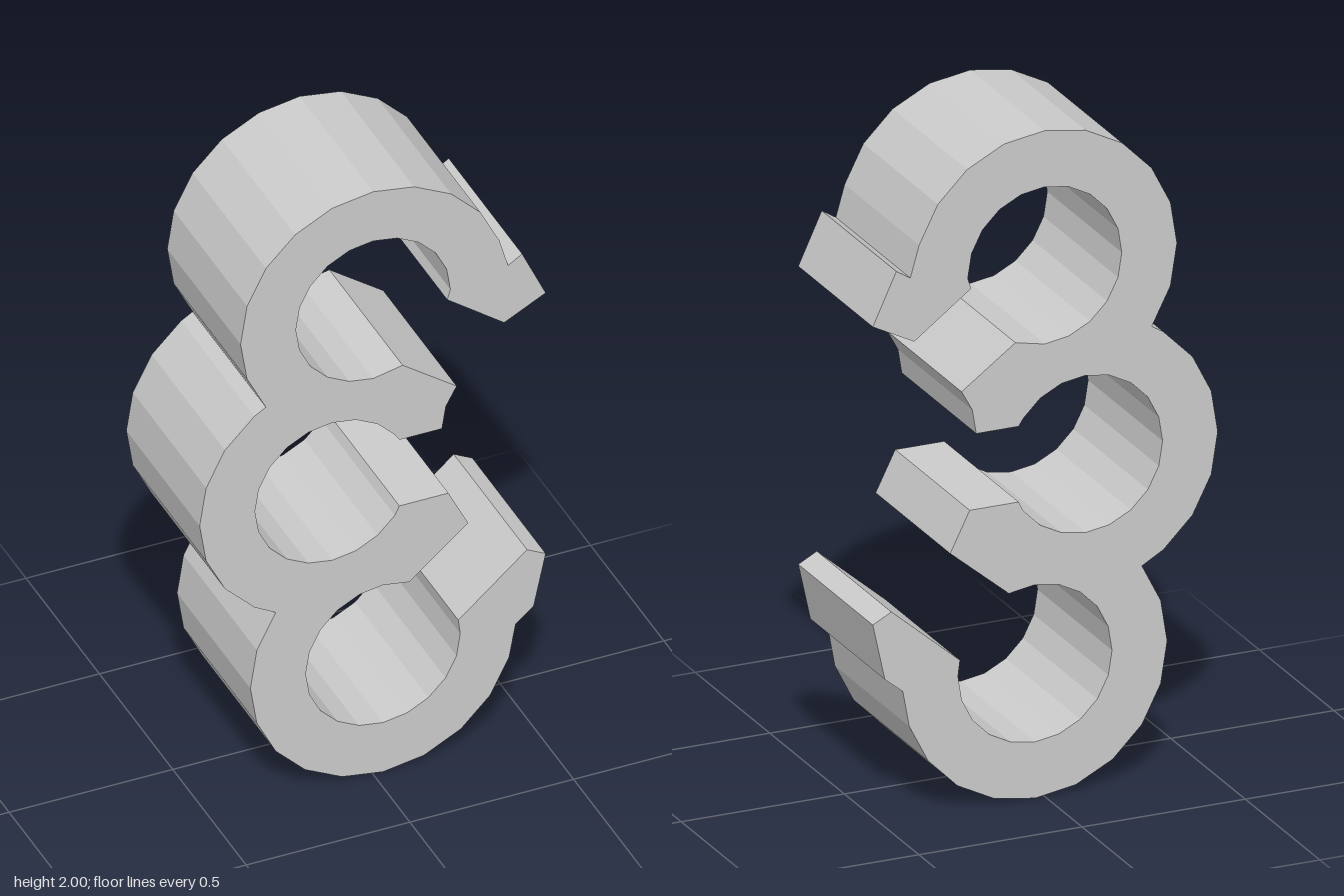
import * as THREE from 'three';

const OUTER = 0.405, INNER = 0.236, STEP = 18, DEPTH = 0.5;
const TOP = [0, 1.597], MIDDLE = [-0.125, 1.01], BOTTOM = [0.03, 0.407];

// Points on a 20-sided ring, from one angle to another in degrees
function arc([cx, cy], radius, from, to) {
  const n = Math.round(Math.abs(to - from) / STEP);
  return Array.from({ length: n + 1 }, (_, i) => {
    const a = THREE.MathUtils.degToRad(from + ((to - from) * i) / n);
    return [cx + radius * Math.cos(a), cy + radius * Math.sin(a)];
  });
}

export function createModel() {
  const outline = [
    // outer walls of the three rings, top to bottom
    ...arc(TOP, OUTER, 18, 216),
    ...arc(MIDDLE, OUTER, 126, 234),
    ...arc(BOTTOM, OUTER, 144, 342),
    // lower hook
    [0.435, 0.39], [0.49, 0.435], [0.527, 0.605], [0.47, 0.635], [0.26, 0.455],
    // inside of the bottom ring
    ...arc(BOTTOM, INNER, 0, -270),
    // lower jaw of the middle ring
    [0.11, 0.63], [0.29, 0.78], [0.23, 0.9], [0.08, 0.9],
    // inside of the middle ring
    ...arc(MIDDLE, INNER, 324, 36),
    // upper jaw of the middle ring
    [0.08, 1.127], [0.21, 1.127], [0.222, 1.2], [0.255, 1.26], [0.09, 1.38],
    // inside of the top ring
    ...arc(TOP, INNER, 270, 0),
    // upper hook
    [0.226, 1.565], [0.4, 1.435], [0.527, 1.5], [0.455, 1.655], [0.412, 1.628],
  ];

  const shape = new THREE.Shape(outline.map(([x, y]) => new THREE.Vector2(x, y)));
  const geometry = new THREE.ExtrudeGeometry(shape, { depth: DEPTH, bevelEnabled: false });
  geometry.translate(0, 0, -DEPTH / 2);

  const clip = new THREE.Mesh(
    geometry,
    new THREE.MeshStandardMaterial({ color: 0xcccccc, flatShading: true })
  );
  clip.name = 'tripleRingClip';

  const group = new THREE.Group();
  group.name = 'clip';
  group.add(clip);
  return group;
}
